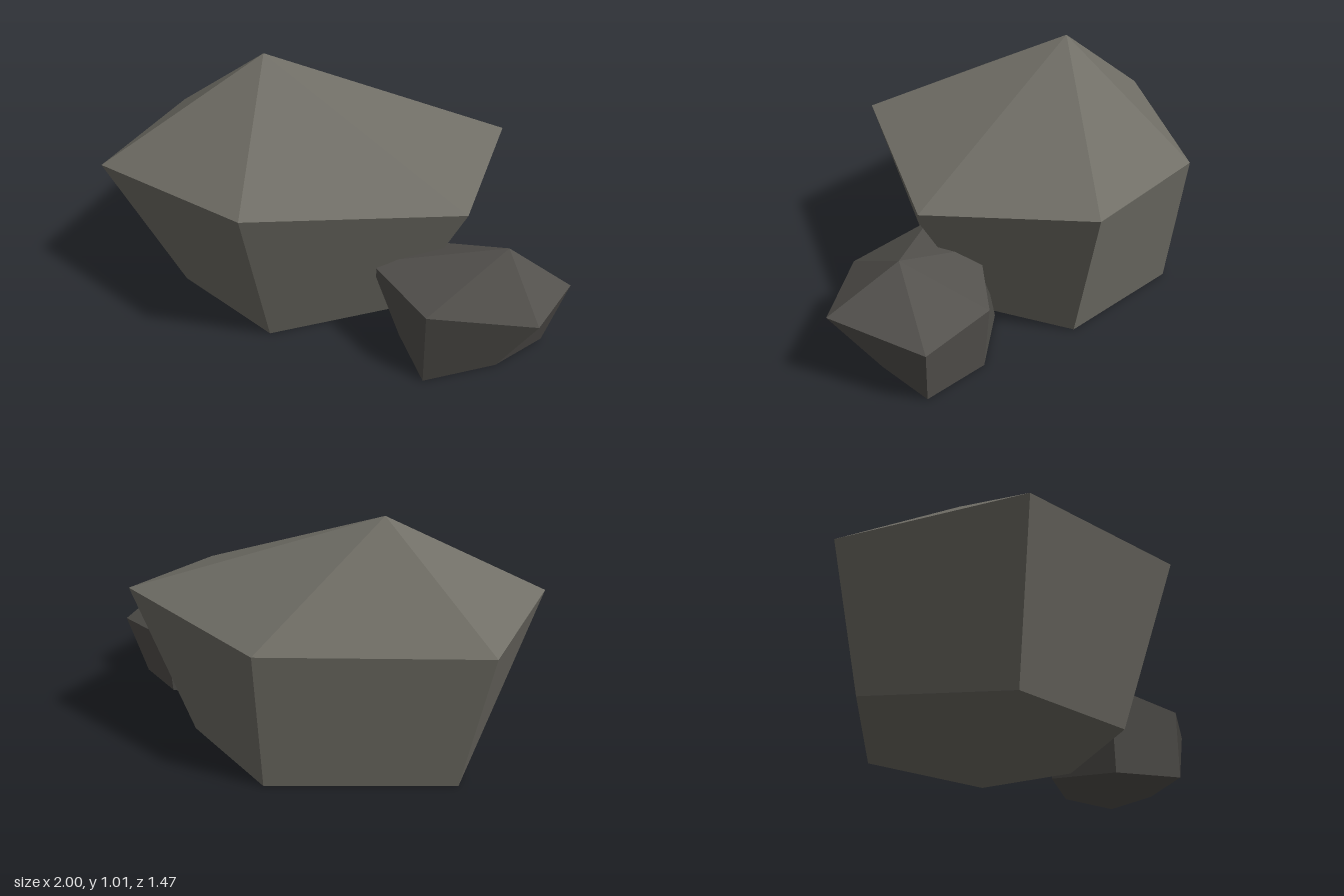
import * as THREE from 'three';

// A faceted boulder: flat base ring, wider shoulder ring and a pointed cap.
function makeRock(name, color, apex, shoulder, base) {
  const points = [];
  const normals = [];
  const top = new THREE.Vector3(...apex);
  const rim = shoulder.map((p) => new THREE.Vector3(...p));
  const floor = base.map(([x, z]) => new THREE.Vector3(x, 0, z));

  // One facet of three or four corners, evenly shaded
  const facet = (a, b, c, d = a) => {
    const normal = c.clone().sub(a).cross(d.clone().sub(b)).normalize();
    const corners = d === a ? [a, b, c] : [a, b, d, d, b, c];
    for (const p of corners) {
      points.push(p.x, p.y, p.z);
      normals.push(normal.x, normal.y, normal.z);
    }
  };

  rim.forEach((p, i) => {
    const j = (i + 1) % rim.length;
    facet(top, p, rim[j]); // cap
    facet(p, floor[i], floor[j], rim[j]); // side
    if (i > 0 && j > 0) facet(floor[0], floor[j], floor[i]); // underside
  });

  const geometry = new THREE.BufferGeometry();
  geometry.setAttribute('position', new THREE.Float32BufferAttribute(points, 3));
  geometry.setAttribute('normal', new THREE.Float32BufferAttribute(normals, 3));
  const mesh = new THREE.Mesh(geometry, new THREE.MeshStandardMaterial({ color }));
  mesh.name = name;
  return mesh;
}

export function createModel() {
  const group = new THREE.Group();
  group.name = 'rocks';

  // Rings run left, front, right, back; shoulder is x, y, z and base is x, z
  group.add(makeRock('largeRock', 0x706e66,
    [-0.34, 1.01, -0.225],
    [[-1, 0.62, 0.14], [-0.31, 0.69, 0.66], [0.56, 0.61, 0.4],
      [0.725, 0.665, -0.285], [0.09, 0.58, -0.735], [-0.81, 0.59, -0.615]],
    [[-0.69, 0.07], [-0.245, 0.44], [0.3, 0.2],
      [0.48, -0.22], [0.07, -0.66], [-0.69, -0.52]]));

  group.add(makeRock('smallRock', 0x53514d,
    [0.725, 0.51, 0.465],
    [[0.175, 0.36, 0.39], [0.41, 0.31, 0.685], [0.835, 0.335, 0.735],
      [1, 0.275, 0.36], [0.72, 0.275, 0.13], [0.36, 0.335, 0.17]],
    [[0.305, 0.4], [0.41, 0.685], [0.705, 0.56],
      [0.905, 0.37], [0.705, 0.155], [0.37, 0.11]]));

  return group;
}
